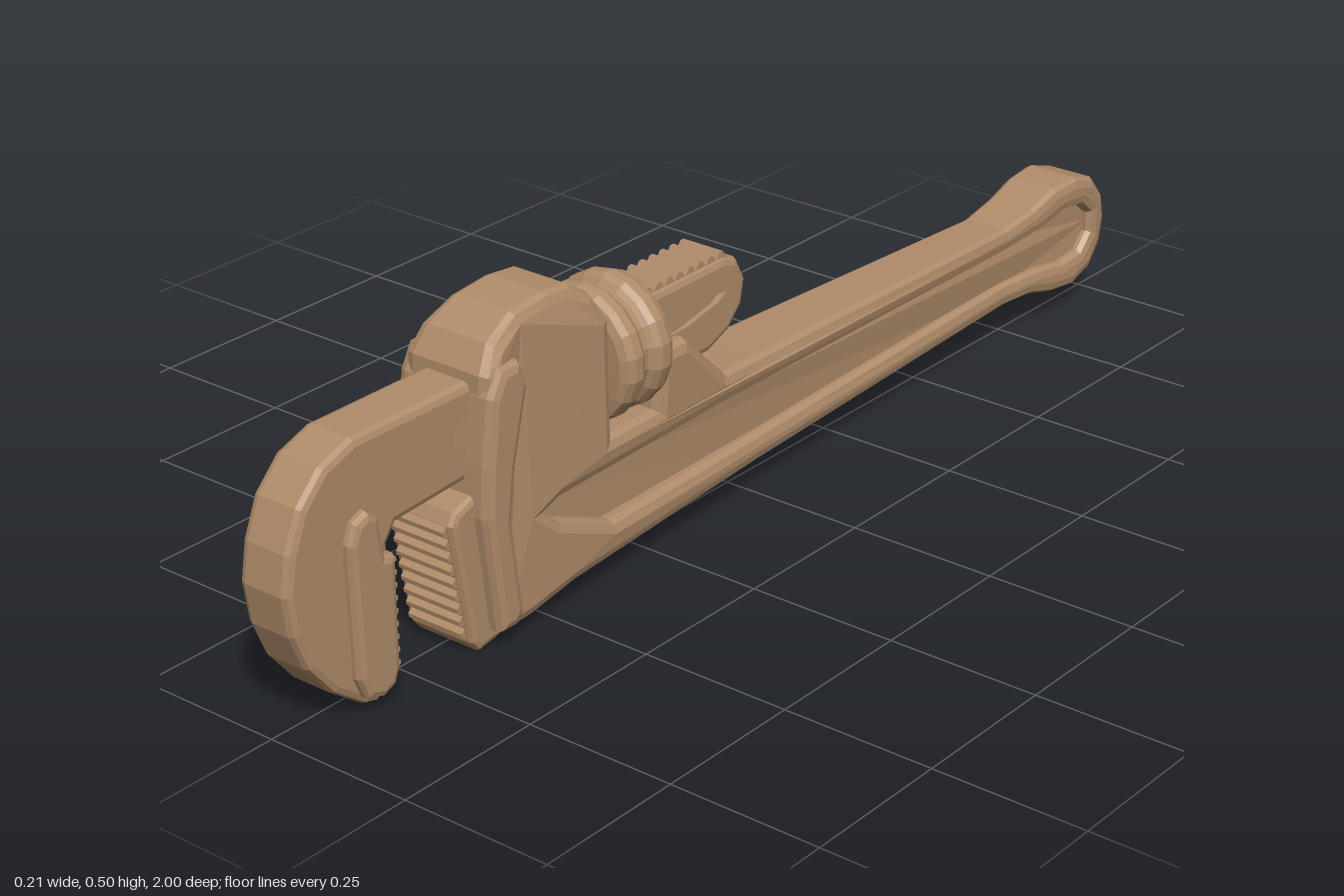
import * as THREE from 'three';

const material = new THREE.MeshStandardMaterial({ color: 0xb08c6a, flatShading: true, side: THREE.DoubleSide });
const toPoints = (list) => list.map(([z, y]) => new THREE.Vector2(z, y));

// Plate cut from a (z, y) outline, centred on x = 0, with chamfered edges
function plate(name, outline, half, bevel = 0, hole = null, widthRule = null) {
  const shape = new THREE.Shape(toPoints(outline));
  if (hole) shape.holes.push(new THREE.Path(toPoints(hole)));
  const geometry = new THREE.ExtrudeGeometry(shape, {
    depth: 2 * (half - bevel), steps: 1, bevelEnabled: bevel > 0,
    bevelSize: bevel, bevelThickness: bevel, bevelOffset: -bevel, bevelSegments: 2,
  });
  geometry.translate(0, 0, bevel - half).rotateY(-Math.PI / 2).translate(0, 0, 0);
  geometry.computeBoundingBox();
  geometry.translate(-(geometry.boundingBox.min.x + geometry.boundingBox.max.x) / 2, 0, 0);
  if (widthRule) {
    const p = geometry.attributes.position;
    for (let i = 0; i < p.count; i++) p.setX(i, p.getX(i) * widthRule(p.getZ(i), p.getY(i)));
  }
  geometry.computeVertexNormals();
  const mesh = new THREE.Mesh(geometry, material);
  mesh.name = name;
  return mesh;
}

// Sawtooth strip from a to b; teeth rise to the left of that direction
function teeth(name, a, b, count, height, half) {
  const dz = b[0] - a[0], dy = b[1] - a[1], len = Math.hypot(dz, dy);
  const nz = -dy / len, ny = dz / len;
  const at = (t, h) => [a[0] + dz * t + nz * h, a[1] + dy * t + ny * h];
  const outline = [at(1, -0.02), at(0, -0.02)];
  for (let i = 0; i < count; i++) {
    outline.push(at(i / count, 0), at((i + 0.35) / count, height), at((i + 0.65) / count, height));
  }
  outline.push(at(1, 0));
  return plate(name, outline, half);
}

// Half-width along the handle, relative to the 0.08 head
const stations = [[-1, 0.05], [-0.92, 0.056], [-0.7, 0.046], [0, 0.064], [0.3, 0.079], [0.65, 0.081]];
function bodyWidth(z, y) {
  let i = 0;
  while (i < stations.length - 2 && z > stations[i + 1][0]) i++;
  const [z0, w0] = stations[i], [z1, w1] = stations[i + 1];
  const w = THREE.MathUtils.lerp(w0, w1, THREE.MathUtils.clamp((z - z0) / (z1 - z0), 0, 1));
  const dome = 1 - 0.22 * THREE.MathUtils.smoothstep(y, 0.43, 0.5);
  return (w / 0.08) * dome;
}

export function createModel() {
  const wrench = new THREE.Group();
  wrench.name = 'pipeWrench';

  // Handle and head in one casting, with a long recess on both sides
  const body = [
    [0.62, 0.02], [0.64, 0.24], [0.63, 0.43], [0.605, 0.47], [0.55, 0.498], [0.48, 0.505], [0.43, 0.5],
    [0.39, 0.475], [0.365, 0.43], [0.362, 0.24], [0.255, 0.24], [0.25, 0.32], [0.225, 0.332], [0.18, 0.33],
    [0.08, 0.236], [0, 0.232], [-0.7, 0.212], [-0.78, 0.225], [-0.84, 0.243], [-0.9, 0.247], [-0.955, 0.23],
    [-0.99, 0.19], [-1, 0.145], [-0.99, 0.1], [-0.955, 0.062], [-0.9, 0.046], [-0.84, 0.052], [-0.78, 0.068],
    [-0.7, 0.072], [0, 0.055], [0.45, 0.038], [0.55, 0.022],
  ];
  const recess = [
    [0.52, 0.176], [0.48, 0.186], [0.1, 0.188], [-0.7, 0.172], [-0.8, 0.18], [-0.87, 0.195], [-0.92, 0.19],
    [-0.95, 0.165], [-0.95, 0.13], [-0.92, 0.103], [-0.87, 0.098], [-0.8, 0.108], [-0.7, 0.112], [0, 0.1],
    [0.36, 0.1], [0.48, 0.15],
  ];
  wrench.add(plate('handleAndHead', body, 0.08, 0.018, recess, bodyWidth));
  const web = [[0.55, 0.2], [0, 0.205], [-0.7, 0.19], [-0.92, 0.205], [-0.97, 0.145], [-0.92, 0.09], [-0.7, 0.095], [0, 0.08], [0.55, 0.08]];
  wrench.add(plate('handleWeb', web, 0.052, 0, null, bodyWidth));

  // Raised collar at the mouth of the head
  wrench.add(plate('headCollar', [
    [0.625, 0.03], [0.65, 0.22], [0.645, 0.3], [0.632, 0.4], [0.61, 0.44], [0.57, 0.44],
    [0.555, 0.4], [0.585, 0.28], [0.595, 0.2], [0.575, 0.05], [0.59, 0.03],
  ], 0.091, 0.014));

  // Fixed jaw leaning out of the head
  wrench.add(plate('fixedJaw', [[0.6, 0.01], [0.645, 0.002], [0.66, 0.02], [0.695, 0.22], [0.685, 0.238], [0.63, 0.257], [0.58, 0.24]], 0.064, 0.01));
  wrench.add(teeth('fixedJawTeeth', [0.692, 0.222], [0.657, 0.025], 9, 0.012, 0.052));

  // Hook jaw with its shank running back through the head
  const hook = [
    [0.03, 0.405], [0.06, 0.415], [0.25, 0.413], [0.63, 0.416], [0.86, 0.416], [0.92, 0.395], [0.965, 0.35],
    [0.99, 0.29], [1, 0.23], [0.99, 0.165], [0.965, 0.105], [0.92, 0.05], [0.86, 0.006], [0.835, 0], [0.812, 0.015],
    [0.802, 0.06], [0.803, 0.235], [0.785, 0.26], [0.65, 0.268], [0.1, 0.272], [0.05, 0.292], [0.018, 0.325], [0.01, 0.365],
  ];
  const slot = [
    [0.05, 0.37], [0.09, 0.376], [0.65, 0.376], [0.69, 0.368], [0.705, 0.345], [0.69, 0.32],
    [0.65, 0.312], [0.15, 0.322], [0.07, 0.338], [0.045, 0.352],
  ];
  wrench.add(plate('hookJaw', hook, 0.046, 0.012, slot));
  wrench.add(plate('shankWeb', [[0.04, 0.39], [0.72, 0.39], [0.72, 0.3], [0.1, 0.3], [0.04, 0.335]], 0.024));
  wrench.add(teeth('shankTeeth', [0.05, 0.413], [0.27, 0.411], 9, 0.011, 0.038));

  // Thickened pad behind the hook teeth
  wrench.add(plate('hookPad', [
    [0.815, 0.025], [0.84, 0.015], [0.87, 0.025], [0.885, 0.06], [0.892, 0.27], [0.88, 0.3], [0.855, 0.31],
    [0.835, 0.295], [0.825, 0.23], [0.805, 0.225], [0.805, 0.05],
  ], 0.064, 0.011));
  wrench.add(teeth('hookTeeth', [0.808, 0.04], [0.808, 0.222], 9, 0.012, 0.052));

  // Adjusting nut: two rounded flanges with a groove between
  const nutProfile = [
    [0, -0.055], [0.09, -0.055], [0.103, -0.05], [0.108, -0.038], [0.108, -0.022], [0.102, -0.012], [0.094, -0.006],
    [0.094, 0.006], [0.102, 0.012], [0.108, 0.022], [0.108, 0.038], [0.103, 0.05], [0.09, 0.055], [0, 0.055],
  ];
  const nut = new THREE.Mesh(new THREE.LatheGeometry(toPoints(nutProfile), 18), material);
  nut.name = 'adjustingNut';
  nut.rotation.x = Math.PI / 2;
  nut.position.set(0, 0.347, 0.306);
  wrench.add(nut);

  return wrench;
}
